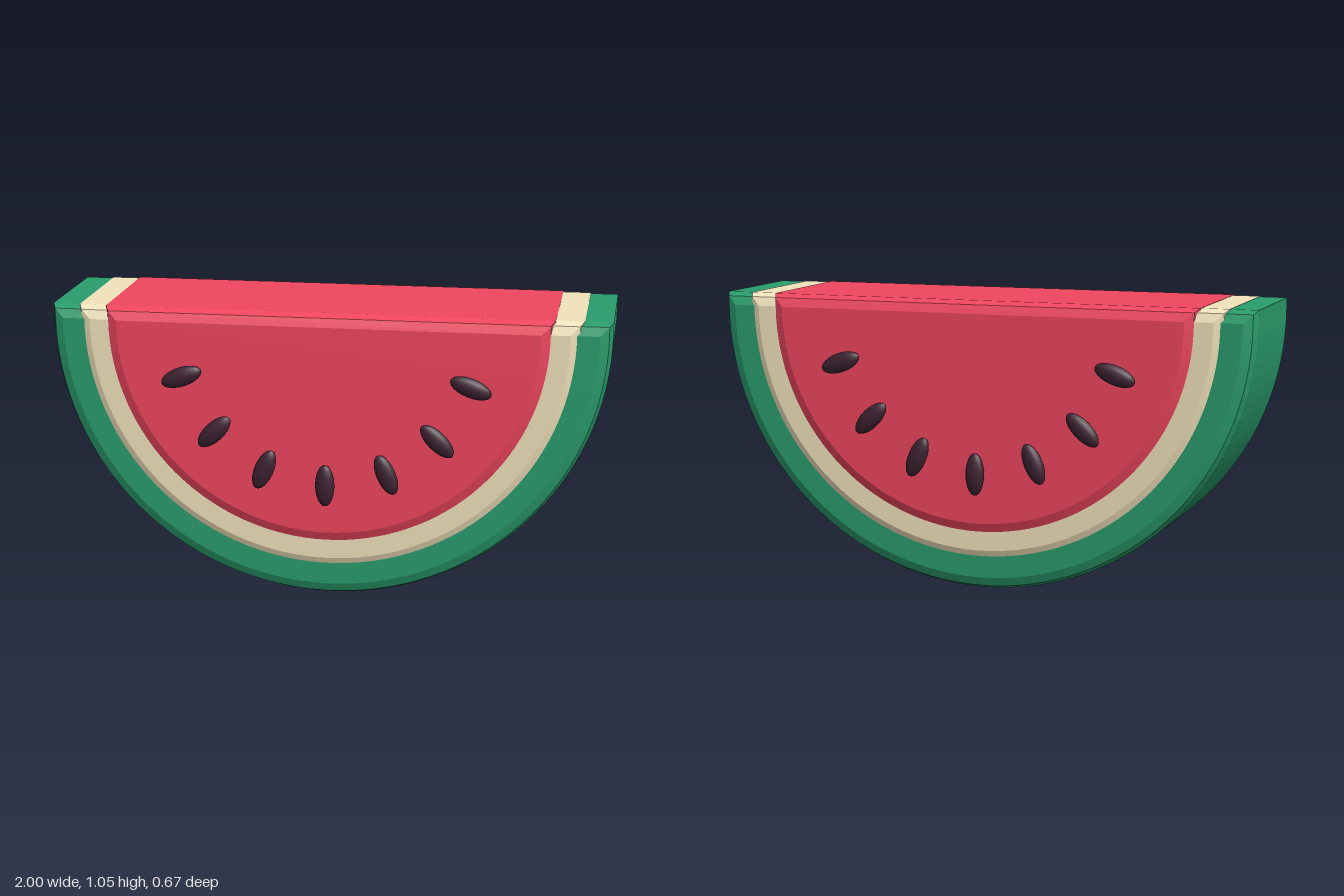
import * as THREE from 'three';

const CENTER_Y = 1.0;
const BEVEL = 0.045;

// Bevelled half disc, flat side up, symmetric about z = 0
function halfDisc(name, radius, halfDepth, color, lift) {
  const shape = new THREE.Shape();
  shape.absarc(0, 0, radius - BEVEL, Math.PI, Math.PI * 2, false);
  shape.closePath();
  const depth = 2 * (halfDepth - BEVEL);
  const geometry = new THREE.ExtrudeGeometry(shape, {
    depth,
    curveSegments: 32,
    bevelEnabled: true,
    bevelSize: BEVEL,
    bevelThickness: BEVEL,
    bevelSegments: 2,
  });
  geometry.translate(0, CENTER_Y + lift, -depth / 2);
  const mesh = new THREE.Mesh(geometry, new THREE.MeshStandardMaterial({ color }));
  mesh.name = name;
  return mesh;
}

export function createModel() {
  const model = new THREE.Group();
  model.name = 'watermelonSlice';

  // Nested layers; tiny lifts keep the flat tops from coinciding
  model.add(
    halfDisc('rind', 1.0, 0.273, 0x2a9d6e, 0),
    halfDisc('paleRind', 0.9, 0.282, 0xf2e3bc, 0.001),
    halfDisc('flesh', 0.8, 0.295, 0xf0465f, 0.002),
  );

  // Seeds on both cut faces, each pointing at the centre of the disc
  const seedGeometry = new THREE.SphereGeometry(1, 16, 12);
  const seedMaterial = new THREE.MeshStandardMaterial({ color: 0x3d2230 });
  const rightHalf = [[0.22, 0.48], [0.4, 0.612], [0.516, 0.81]];
  const spots = [[0, 0.43], ...rightHalf, ...rightHalf.map(([x, y]) => [-x, y])];
  const seeds = new THREE.Group();
  seeds.name = 'seeds';
  for (const side of [1, -1]) {
    for (const [x, y] of spots) {
      const seed = new THREE.Mesh(seedGeometry, seedMaterial);
      seed.name = side > 0 ? 'frontSeed' : 'backSeed';
      seed.scale.set(0.035, 0.077, 0.022);
      seed.position.set(x, y, side * 0.315);
      seed.rotation.z = Math.atan2(x, CENTER_Y - y);
      seeds.add(seed);
    }
  }
  model.add(seeds);
  return model;
}
